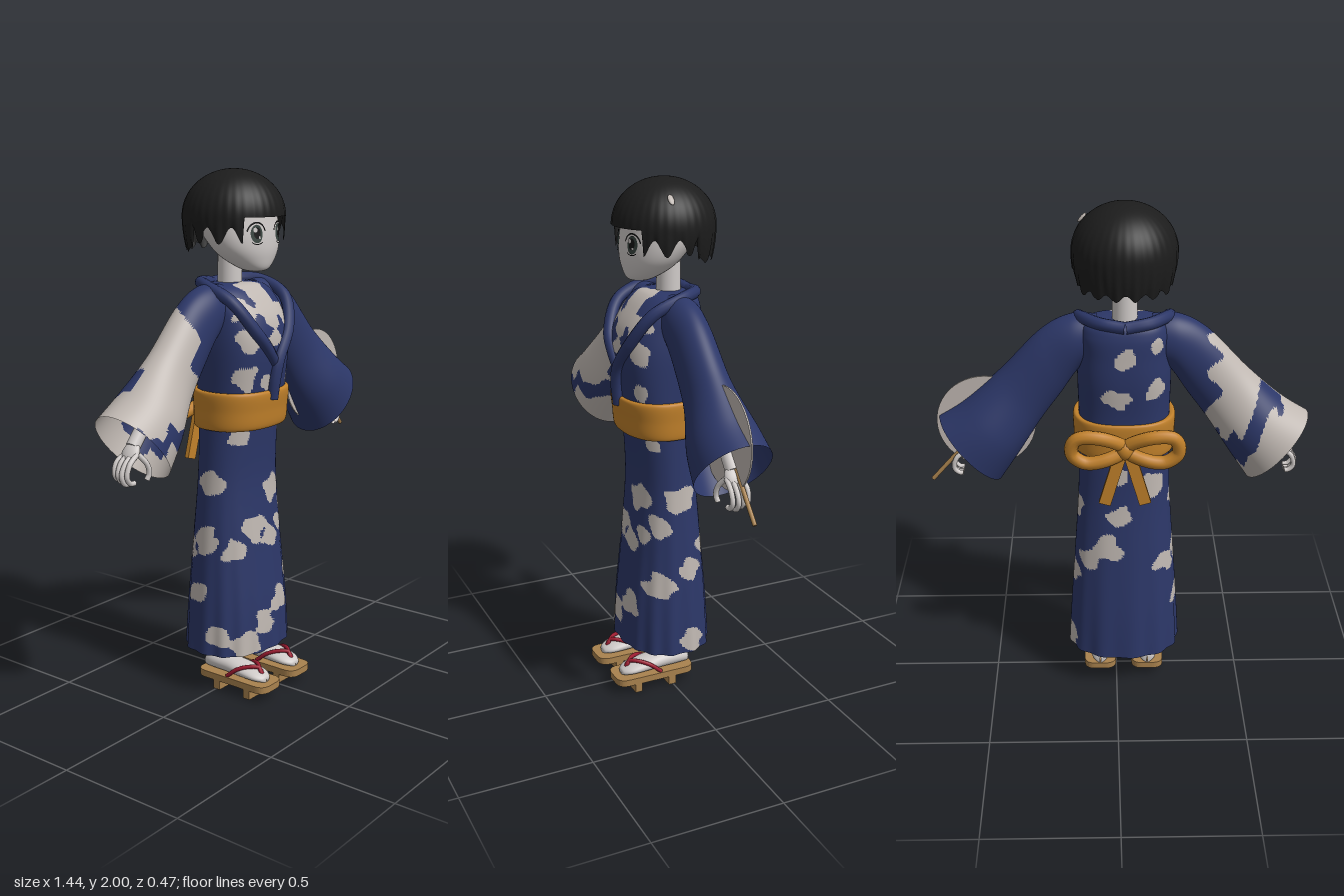
import * as THREE from 'three';

const paint = (name, color) => new THREE.MeshStandardMaterial({ name, color, side: THREE.DoubleSide });
const M = {
  blue: paint('indigo cloth', 0x2c3768), pale: paint('pale cloth', 0xc0b8b2), skin: paint('skin', 0xcfcac8),
  hair: paint('black hair', 0x1c1c1c), sash: paint('amber sash', 0xc0802a), wood: paint('wood', 0xa9824e),
  red: paint('red cord', 0x9c1b30), iris: paint('iris', 0x38443f), dark: paint('eye black', 0x141414),
};
const { sin, cos, abs, sign, sqrt, PI } = Math;
const V = (p) => new THREE.Vector3(...p);

function add(parent, name, geo, mat, pos = [0, 0, 0]) {
  const m = new THREE.Mesh(geo, mat);
  m.name = name;
  m.position.set(...pos);
  parent.add(m);
  return m;
}

// Smooth interpolation through rows of numbers, t from 0 to 1
function sample(rows, t) {
  const f = t * (rows.length - 1), i = Math.min(Math.floor(f), rows.length - 2), u = f - i;
  const r = (k) => rows[Math.max(0, Math.min(rows.length - 1, k))];
  return rows[i].map((b, k) => {
    const a = r(i - 1)[k], c = r(i + 1)[k], d = r(i + 2)[k];
    return b + 0.5 * u * (c - a + u * (2 * a - 5 * b + 4 * c - d + u * (3 * (b - c) + d - a)));
  });
}

// Skin of closed rings; point(row, angle, t) gives each position
function loft(rows, seg, steps, point) {
  const pos = [], idx = [];
  for (let i = 0; i <= steps; i++) {
    const t = i / steps, row = sample(rows, t);
    for (let j = 0; j < seg; j++) pos.push(...point(row, (j / seg) * 2 * PI, t));
  }
  for (let i = 0; i < steps; i++) for (let j = 0; j < seg; j++) {
    const a = i * seg + j, b = i * seg + (j + 1) % seg;
    idx.push(a, b, a + seg, b, b + seg, a + seg);
  }
  const g = new THREE.BufferGeometry();
  g.setAttribute('position', new THREE.Float32BufferAttribute(pos, 3));
  g.setIndex(idx);
  g.computeVertexNormals();
  return g;
}

// Ring of a body: row = [y, half width, front z, back z]
const ring = (e, fold = () => 0) => ([y, w, zf, zb], a, t) => {
  const k = 1 + fold(a, t), p = (v) => sign(v) * abs(v) ** e;
  return [w * k * p(sin(a)), y, (zf + zb) / 2 + ((zf - zb) / 2) * k * p(cos(a))];
};

// Split faces into two material groups by a rule on their centre
function dye(g, isPale) {
  const p = g.attributes.position, ix = g.index.array, sets = [[], []];
  for (let i = 0; i < ix.length; i += 3) {
    const f = [ix[i], ix[i + 1], ix[i + 2]];
    const c = ['getX', 'getY', 'getZ'].map((k) => f.reduce((s, v) => s + p[k](v), 0) / 3);
    sets[isPale(...c) ? 1 : 0].push(...f);
  }
  g.setIndex([...sets[0], ...sets[1]]);
  g.addGroup(0, sets[0].length, 0);
  g.addGroup(sets[0].length, sets[1].length, 1);
  return g;
}
const cloth = [M.blue, M.pale];
const blots = (list) => (x, y, z) => list.some(([a, b, c, r]) =>
  Math.hypot(x - a, (y - b) * 1.15, z - c) < r * (1 + 0.16 * sin(x * 75 + y * 40) + 0.14 * cos(y * 85 - z * 60)));

const tube = (pts, r, n = 24, closed = false) =>
  new THREE.TubeGeometry(new THREE.CatmullRomCurve3(pts.map(V), closed), n, r, 10, closed);
const ball = (x, y, z) => new THREE.SphereGeometry(1, 28, 20).scale(x, y, z);

function rod(parent, name, a, b, r, mat) {
  const d = V(b).sub(V(a));
  const m = add(parent, name, new THREE.CylinderGeometry(r, r, d.length(), 16), mat, V(a).addScaledVector(d, 0.5).toArray());
  m.quaternion.setFromUnitVectors(new THREE.Vector3(0, 1, 0), d.normalize());
}

function robe(root) {
  const torso = [[1.05, 0.17, 0.13, -0.14], [1.2, 0.172, 0.15, -0.14], [1.35, 0.175, 0.165, -0.155], [1.45, 0.17, 0.15, -0.155],
    [1.53, 0.165, 0.1, -0.15], [1.575, 0.13, 0.05, -0.13], [1.585, 0.02, 0, -0.08]];
  add(root, 'robe top', dye(loft(torso, 120, 75, ring(0.8)), blots([
    [-0.12, 1.5, 0.12, 0.06], [0, 1.49, 0.13, 0.07], [0.1, 1.48, 0.12, 0.055], [-0.12, 1.39, 0.14, 0.05], [0.13, 1.38, 0.13, 0.045],
    [-0.13, 1.25, 0.13, 0.05], [0, 1.39, 0.16, 0.035], [0.13, 1.23, 0.13, 0.035], [-0.03, 1.23, 0.15, 0.035], [0, 1.57, 0.05, 0.065],
    [0, 1.46, -0.15, 0.045], [0.03, 1.3, -0.15, 0.05], [-0.12, 1.33, -0.13, 0.045], [-0.12, 1.5, -0.13, 0.03]])), cloth);
  const skirt = [[0.165, 0.221, 0.16, -0.193], [0.35, 0.212, 0.15, -0.182], [0.6, 0.195, 0.125, -0.16],
    [0.85, 0.178, 0.107, -0.138], [1.08, 0.17, 0.12, -0.135]];
  const pleat = (a, t) => 0.022 * (1 - t) ** 2 * sin(a * 14 + 2 * sin(a));
  add(root, 'robe skirt', dye(loft(skirt, 130, 120, ring(0.9, pleat)), blots([
    [-0.13, 1.02, 0.1, 0.05], [0.13, 1.02, 0.08, 0.03], [0.07, 0.8, 0.1, 0.06], [-0.06, 0.66, 0.11, 0.06], [-0.15, 0.58, 0.09, 0.05],
    [0.03, 0.61, 0.12, 0.055], [0.1, 0.65, 0.1, 0.04], [0.17, 0.7, 0.07, 0.055], [0.18, 0.8, -0.02, 0.06], [0.17, 0.45, 0.07, 0.06],
    [0.2, 0.52, -0.05, 0.05], [0.06, 0.35, 0.145, 0.055], [-0.04, 0.28, 0.15, 0.055], [-0.13, 0.21, 0.13, 0.055], [0.21, 0.21, -0.06, 0.055],
    [0.14, 0.6, -0.12, 0.05], [0.02, 0.8, -0.14, 0.05], [0.07, 0.66, -0.15, 0.06], [-0.1, 0.93, -0.12, 0.055], [0.02, 0.97, -0.13, 0.035],
    [-0.19, 0.62, -0.02, 0.06], [-0.15, 0.58, -0.1, 0.05], [-0.18, 0.84, 0, 0.055], [-0.2, 0.4, -0.05, 0.05], [-0.2, 0.24, 0.04, 0.05]])), cloth);

  // Sleeves: [top x, top y, bottom x, bottom y, half depth]
  const rows = [[0.1, 1.585, 0.12, 1.4, 0.07], [0.2, 1.585, 0.17, 1.375, 0.078], [0.31, 1.525, 0.235, 1.28, 0.078],
    [0.46, 1.37, 0.31, 1.175, 0.088], [0.595, 1.25, 0.395, 1.04, 0.13], [0.695, 1.185, 0.47, 0.925, 0.142]];
  const sleeve = (s) => loft(rows, 84, 80, ([tx, ty, bx, by, d], a) => {
    const c = cos(a) / 2;
    return [s * ((tx + bx) / 2 + (tx - bx) * c), (ty + by) / 2 + (ty - by) * c, -0.022 + d * sin(a)];
  });
  add(root, 'left sleeve', sleeve(1), M.blue);
  add(root, 'right sleeve', dye(sleeve(-1), (x, y, z) => {
    const wave = 0.02 * sin(x * 45) + 0.012 * sin(x * 90 + z * 50);
    if (x > -0.33 + 0.03 * sin(y * 40 + z * 35)) return false;
    if (z > -0.02) return abs(y - 1.09 - wave) > 0.032;
    return abs(x + 0.5 + 0.6 * (y - 1.2) - wave) > 0.045;
  }), cloth);

  // Crossed collar
  const half = (s, end) => [[0, 1.575, -0.135], [s * 0.09, 1.585, -0.115], [s * 0.16, 1.58, -0.03], [s * 0.16, 1.53, 0.085],
    [s * 0.1, 1.42, 0.15], ...end];
  add(root, 'left collar', tube(half(1, [[0.02, 1.31, 0.168], [0, 1.24, 0.165], [-0.005, 1.16, 0.155]]), 0.023, 50), M.blue);
  add(root, 'right collar', tube(half(-1, [[-0.04, 1.35, 0.16], [0.01, 1.29, 0.155]]), 0.023, 50), M.blue);
}

function sash(root) {
  add(root, 'sash', loft([[1.05, 0.165, 0.11, -0.13], [1.053, 0.188, 0.148, -0.15], [1.12, 0.192, 0.158, -0.153],
    [1.187, 0.192, 0.162, -0.153], [1.19, 0.165, 0.13, -0.13]], 72, 40, ring(0.85)), M.sash);
  const bow = new THREE.Group();
  bow.name = 'bow';
  root.add(bow);
  add(bow, 'bow knot', ball(0.035, 0.04, 0.035), M.sash, [0, 1.115, -0.185]);
  for (const s of [1, -1]) {
    add(bow, 'bow loop', tube([[0, 1.115, -0.18], [s * 0.09, 1.175, -0.212], [s * 0.18, 1.17, -0.208], [s * 0.198, 1.11, -0.2],
      [s * 0.15, 1.07, -0.2], [s * 0.07, 1.08, -0.2]], 0.026, 48, true), M.sash);
    const tail = add(bow, 'bow tail', new THREE.BoxGeometry(0.045, 0.23, 0.018), M.sash, [s * 0.045, 1.0, -0.19]);
    tail.rotation.z = s * 0.28;
  }
}

function head(root) {
  const face = [[1.628, 0.002, 0.08, 0.07], [1.638, 0.055, 0.115, 0.02], [1.68, 0.115, 0.13, -0.05], [1.73, 0.15, 0.135, -0.1],
    [1.8, 0.165, 0.13, -0.15], [1.9, 0.155, 0.11, -0.16], [1.96, 0.1, 0.05, -0.1], [1.975, 0.002, -0.02, -0.03]];
  add(root, 'head', loft(face, 56, 48, ring(1)), M.skin);
  add(root, 'neck', new THREE.CylinderGeometry(0.045, 0.047, 0.18, 28), M.skin, [0, 1.6, -0.05]);

  // Bobbed hair: short fringe in front, longer locks at sides and back
  const hem = (a) => {
    const b = abs(a > PI ? a - 2 * PI : a);
    if (b < 0.72) return 1.838 + 0.006 * cos(a * 36);
    if (b < 1.9) return 1.765 + 0.03 * cos(b * 13);
    return 1.71 + 0.012 * cos(a * 16);
  };
  add(root, 'hair', loft([[0], [1]], 168, 44, (_, a, t) => {
    const k = Math.max(0, (t - 0.7) / 0.3), th = Math.min(t / 0.7, 1) * PI / 2;
    const r = sin(th) * (1 + 0.012 * t * t * cos(a * 36) - 0.08 * k * k * (cos(a) < 0 ? 1 : 0.3));
    const y = k > 0 ? 1.83 + (hem(a) - 1.83) * k : 1.83 + 0.17 * cos(th);
    return [0.19 * r * sin(a), y, -0.03 + 0.194 * r * cos(a)];
  }), M.hair);
  const pin = add(root, 'hair clip', ball(0.006, 0.022, 0.012), M.pale, [0.15, 1.935, 0.012]);
  pin.rotation.z = 0.75;

  // Eyes laid on the curve of the face
  const faceZ = (x, y) => {
    const k = (y - 1.73) / 0.07, w = 0.15 + 0.015 * k, f = 0.135 - 0.005 * k, b = -0.1 - 0.05 * k;
    return (f + b) / 2 + ((f - b) / 2) * sqrt(1 - (x / w) ** 2);
  };
  const onFace = (g, cx, cy, lift) => {
    const p = g.attributes.position;
    for (let i = 0; i < p.count; i++) {
      const x = p.getX(i) + cx, y = p.getY(i) + cy;
      p.setXYZ(i, x, y, faceZ(x, y) + lift);
    }
    g.computeVertexNormals();
    return g;
  };
  const oval = (w, h) => new THREE.CircleGeometry(1, 28).scale(w, h, 1);
  for (const s of [1, -1]) {
    const x = s * 0.063;
    add(root, 'iris', onFace(oval(0.024, 0.033), x, 1.77, 0.004), M.iris);
    add(root, 'pupil', onFace(oval(0.014, 0.021), x, 1.773, 0.006), M.dark);
    add(root, 'eye glint', onFace(oval(0.008, 0.009), x - 0.009, 1.784, 0.008), M.skin);
    add(root, 'lower glint', onFace(oval(0.005, 0.005), x + 0.008, 1.757, 0.008), M.skin);
    add(root, 'upper lash', onFace(new THREE.RingGeometry(0.87, 1, 28, 1, 0.25, PI - 0.5).scale(0.04, 0.044, 1), x, 1.769, 0.005), M.dark);
    add(root, 'lower lash', onFace(new THREE.RingGeometry(0.92, 1, 20, 1, PI + 0.9, PI - 1.8).scale(0.036, 0.04, 1), x, 1.771, 0.005), M.dark);
  }
}

function arm(s) {
  const g = new THREE.Group();
  g.name = s > 0 ? 'left hand' : 'right hand';
  rod(g, 'forearm', [0.38, 1.3, -0.02], [0.585, 1.06, -0.018], 0.026, M.skin);
  const palm = add(g, 'palm', ball(0.02, 0.045, 0.036), M.skin, [0.6, 1.04, -0.016]);
  palm.rotation.z = 0.6;
  for (let i = 0; i < 4; i++) {
    const z = -0.046 + i * 0.021, d = 0.005 * abs(i - 2);
    add(g, 'finger', tube([[0.6, 1.04, z * 0.8], [0.64, 1.012, z], [0.66 - d, 0.97, z], [0.643 - d, 0.94 + d, z], [0.618, 0.938 + d, z]], 0.0095), M.skin);
  }
  add(g, 'thumb', tube([[0.59, 1.04, 0.01], [0.563, 1.0, 0.028], [0.557, 0.965, 0.03], [0.565, 0.945, 0.026]], 0.01), M.skin);
  g.scale.x = s;
  return g;
}

function leg(s) {
  const g = new THREE.Group();
  g.name = s > 0 ? 'left leg' : 'right leg';
  g.position.x = s * 0.097;
  rod(g, 'shin', [0, 0.17, -0.022], [0, 0.6, -0.022], 0.038, M.skin);
  add(g, 'ankle', ball(0.04, 0.038, 0.04), M.skin, [0, 0.17, -0.022]);
  // Foot: [z, half width, height]
  add(g, 'foot', loft([[-0.092, 0.002, 0.03], [-0.082, 0.028, 0.05], [-0.04, 0.042, 0.067], [0.03, 0.045, 0.066],
    [0.1, 0.051, 0.056], [0.165, 0.047, 0.04], [0.198, 0.026, 0.025], [0.204, 0.002, 0.012]], 32, 40,
  ([z, w, h], a) => [w * cos(a), 0.063 + h * (0.5 + 0.5 * sin(a)), z]), M.skin);
  // Wooden sandal with two teeth
  const w = 0.065, f = 0.235, b = -0.095, r = 0.045, sole = new THREE.Shape();
  sole.moveTo(-w, b + r).quadraticCurveTo(-w, b, -w + r, b).lineTo(w - r, b).quadraticCurveTo(w, b, w, b + r)
    .lineTo(w, f - r).quadraticCurveTo(w, f, w - r, f).lineTo(-w + r, f).quadraticCurveTo(-w, f, -w, f - r).closePath();
  add(g, 'sandal sole', new THREE.ExtrudeGeometry(sole, { depth: 0.027, bevelEnabled: false, curveSegments: 10 }).rotateX(PI / 2), M.wood, [0, 0.065, 0]);
  for (const z of [0.15, 0.003]) add(g, 'sandal tooth', new THREE.BoxGeometry(0.122, 0.042, 0.03), M.wood, [0, 0.021, z]);
  for (const k of [1, -1]) add(g, 'sandal cord', tube([[k * 0.055, 0.066, 0.05], [k * 0.046, 0.105, 0.1], [k * 0.02, 0.118, 0.145],
    [0, 0.112, 0.168], [0, 0.066, 0.19]], 0.008), M.red);
  return g;
}

export function createModel() {
  const model = new THREE.Group(), root = new THREE.Group();
  model.name = 'figure in summer robe';
  root.name = 'figure';
  root.position.x = -0.03;
  model.add(root);
  robe(root);
  sash(root);
  head(root);
  for (const s of [1, -1]) root.add(arm(s), leg(s));
  // Round hand fan
  add(root, 'fan', new THREE.CylinderGeometry(0.187, 0.187, 0.006, 48).rotateX(PI / 2), M.pale, [0.52, 1.158, -0.025]);
  rod(root, 'fan handle', [0.52, 1.158, -0.025], [0.738, 0.912, -0.025], 0.008, M.wood);
  return model;
}
